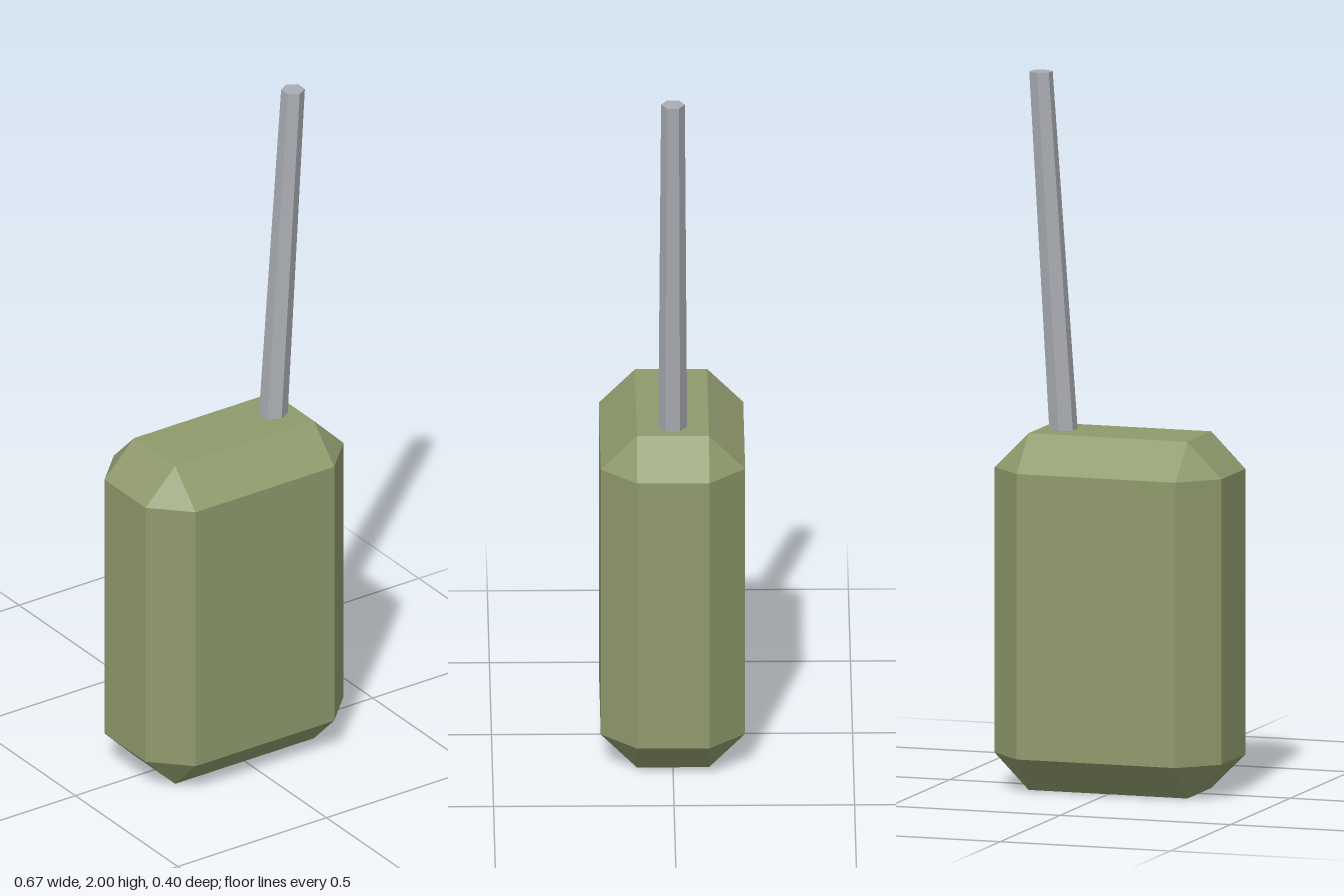
import * as THREE from 'three';
import { ConvexGeometry } from 'three/addons/geometries/ConvexGeometry.js';

// Box with every edge chamfered by c, centred on the origin
function chamferedBox(w, h, d, c) {
  const points = [];
  for (const sx of [-1, 1]) for (const sy of [-1, 1]) for (const sz of [-1, 1]) {
    const outer = [sx * w / 2, sy * h / 2, sz * d / 2];
    const inner = [sx * (w / 2 - c), sy * (h / 2 - c), sz * (d / 2 - c)];
    // each corner becomes a triangle, one point on each adjoining face
    for (let axis = 0; axis < 3; axis++) {
      const p = [...inner];
      p[axis] = outer[axis];
      points.push(new THREE.Vector3(...p));
    }
  }
  return new ConvexGeometry(points);
}

export function createModel() {
  const model = new THREE.Group();
  model.name = 'handheldRadio';

  // Olive casing
  const casing = new THREE.Mesh(
    chamferedBox(0.666, 1, 0.4, 0.1),
    new THREE.MeshStandardMaterial({ color: 0x8f9a6c, flatShading: true })
  );
  casing.name = 'casing';
  casing.position.y = 0.5;
  model.add(casing);

  // Tapered six-sided antenna, sheared sideways so both ends stay level
  const rod = new THREE.CylinderGeometry(0.033, 0.04, 1, 6);
  rod.translate(0, 0.5, 0);
  rod.applyMatrix4(new THREE.Matrix4().makeShear(0, 0, 0.066, 0, 0, 0));
  const pos = rod.attributes.position;
  if (Math.abs(pos.getX(0)) < 0.01) { // makes the lean independent of shear argument order
    for (let i = 0; i < pos.count; i++) pos.setX(i, pos.getX(i) + 0.066 * pos.getY(i));
  }
  const antenna = new THREE.Mesh(
    rod,
    new THREE.MeshStandardMaterial({ color: 0xa9acb2, flatShading: true })
  );
  antenna.name = 'antenna';
  antenna.position.set(0.166, 1, 0);
  model.add(antenna);

  return model;
}
